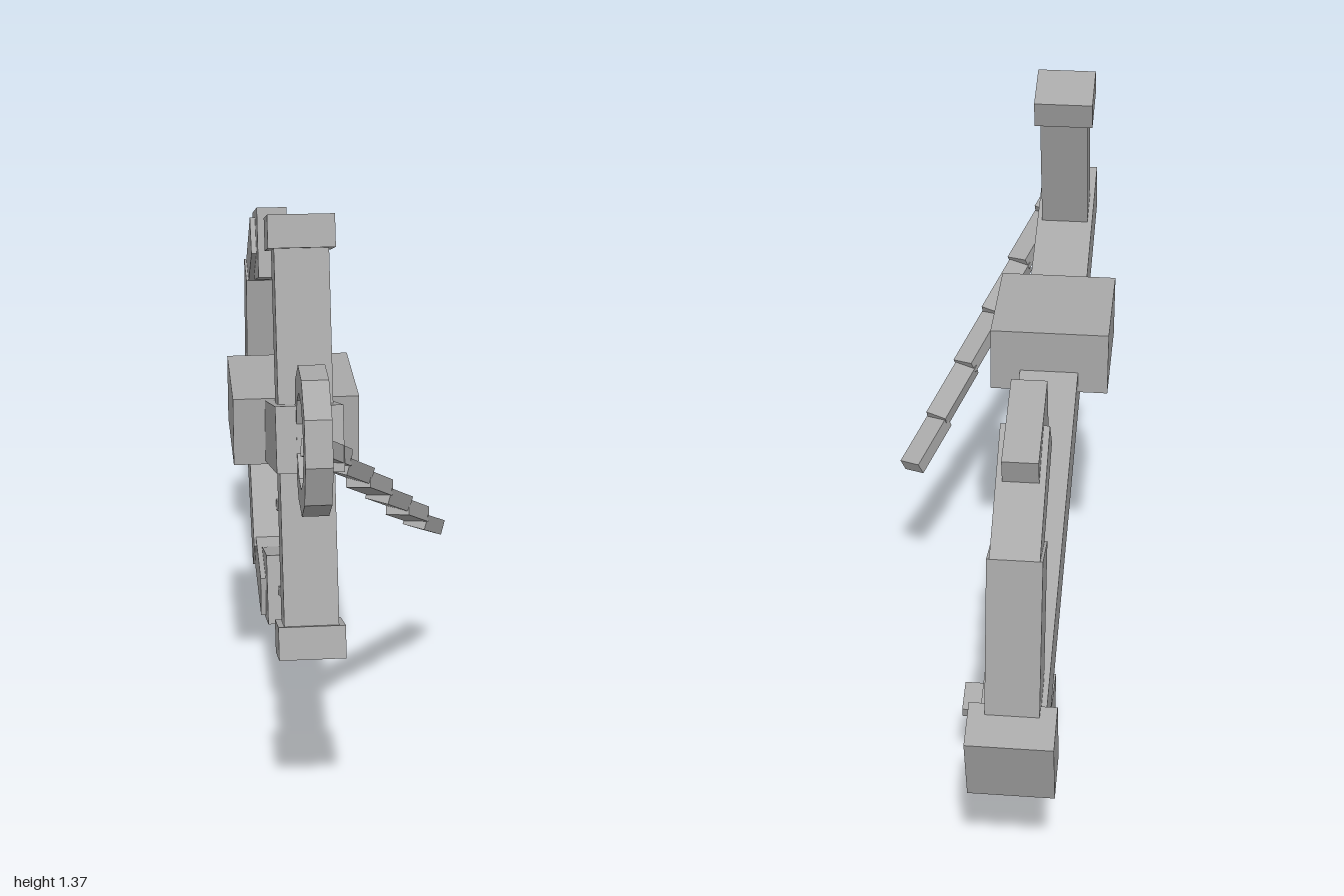
import * as THREE from 'three';

const CX = -0.114;      // centre plane of the anchor
const TILT = -0.314;    // lean of shank, stock and flukes

export function createModel() {
  const model = new THREE.Group();
  model.name = 'anchor';
  const iron = new THREE.MeshStandardMaterial({ color: 0xa8a8a8 });
  iron.name = 'grey iron';

  const add = (name, geometry) => {
    const mesh = new THREE.Mesh(geometry, iron);
    mesh.name = name;
    model.add(mesh);
    return mesh;
  };
  const box = (name, size, pos, tilt = 0) => {
    const mesh = add(name, new THREE.BoxGeometry(...size));
    mesh.position.set(...pos);
    mesh.rotation.x = tilt;
    return mesh;
  };
  // Box running from a to b
  const beam = (name, a, b, width, height, roll = 0) => {
    const p = new THREE.Vector3(...a), q = new THREE.Vector3(...b);
    const mesh = add(name, new THREE.BoxGeometry(width, height, p.distanceTo(q)));
    mesh.position.copy(p).lerp(q, 0.5);
    mesh.lookAt(q);
    mesh.rotateZ(roll);
    return mesh;
  };
  // Side profile given as [z, y] points, extruded across x
  const slab = (name, points, width, hole) => {
    const toV = (p) => new THREE.Vector2(...p);
    const shape = new THREE.Shape(points.map(toV));
    if (hole) shape.holes.push(new THREE.Path(hole.map(toV)));
    const g = new THREE.ExtrudeGeometry(shape, { depth: width, bevelEnabled: false });
    g.rotateY(-Math.PI / 2);
    g.translate(CX + width / 2, 0, 0);
    return add(name, g);
  };

  // Shank, crown and the square block around the shank
  beam('shank', [CX, 0.958, 0.755], [CX, 0.415, -0.91], 0.14, 0.138);
  box('crown', [0.188, 0.185, 0.108], [CX, 0.412, -0.917], TILT);
  box('shankBlock', [0.283, 0.157, 0.305], [CX, 0.822, 0.19]);

  // Stock with an end cap at each end
  box('stock', [0.116, 0.86, 0.105], [CX, 0.908, 0.607], TILT);
  for (const s of [1, -1]) {
    box('stockCap', [0.142, 0.07, 0.13],
      [CX, 0.908 + s * 0.411, 0.607 - s * 0.131], TILT);
  }

  // Bent arms
  slab('upperArm', [[-0.76, 0.845], [-0.877, 0.872], [-0.925, 0.48], [-0.813, 0.44]], 0.116);
  slab('upperArmTip', [[-0.642, 1.053], [-0.877, 0.872], [-0.76, 0.845], [-0.578, 0.973]], 0.104);
  slab('lowerArm', [[-0.8, 0.438], [-0.53, 0.16], [-0.61, 0.07], [-0.877, 0.33]], 0.116);
  slab('lowerArmTip', [[-0.316, 0.16], [-0.57, 0.18], [-0.61, 0.07], [-0.316, 0.053]], 0.104);

  // Flukes with a small stud on the front face
  for (const [y, z] of [[0.984, -0.626], [0.126, -0.348]]) {
    box('fluke', [0.077, 0.18, 0.228], [CX, y, z], TILT);
    box('flukeStud', [0.02, 0.022, 0.03], [CX, y + 0.036, z + 0.116], TILT);
  }

  // Ten-sided ring
  const circle = (r) => Array.from({ length: 10 }, (_, i) => {
    const a = i * Math.PI / 5;
    return [0.845 + r * Math.cos(a), 0.989 + r * Math.sin(a)];
  });
  slab('ring', circle(0.152), 0.055, circle(0.098));

  // Hanging chain of overlapping flat links
  const start = new THREE.Vector3(CX, 0.985, 0.85);
  const end = new THREE.Vector3(0.232, 0.462, 0.09);
  const at = (t, lift) => {
    const p = start.clone().lerp(end, t);
    return [p.x, p.y + lift, p.z];
  };
  const count = 6;
  for (let i = 0; i < count; i++) {
    beam('chainLink', at(i / count, -0.008), at((i + 1.12) / count - (i === 5 ? 0.12 / count : 0), 0.01),
      0.055, 0.036, i % 2 ? 0.12 : -0.12);
  }

  // Broken link under the shank
  beam('brokenLink', [-0.03, 0.535, -0.07], [-0.055, 0.5, -0.165], 0.04, 0.035, 0.3);
  beam('brokenLinkTail', [-0.055, 0.495, -0.12], [-0.1, 0.525, -0.33], 0.045, 0.016);

  // Loose links beside the lower arm
  for (const [x, y, z] of [[-0.08, 0.25, -0.6], [-0.034, 0.243, -0.61], [0.003, 0.26, -0.56]]) {
    box('looseLink', [0.052, 0.028, 0.075], [x, y, z], TILT);
  }

  return model;
}
